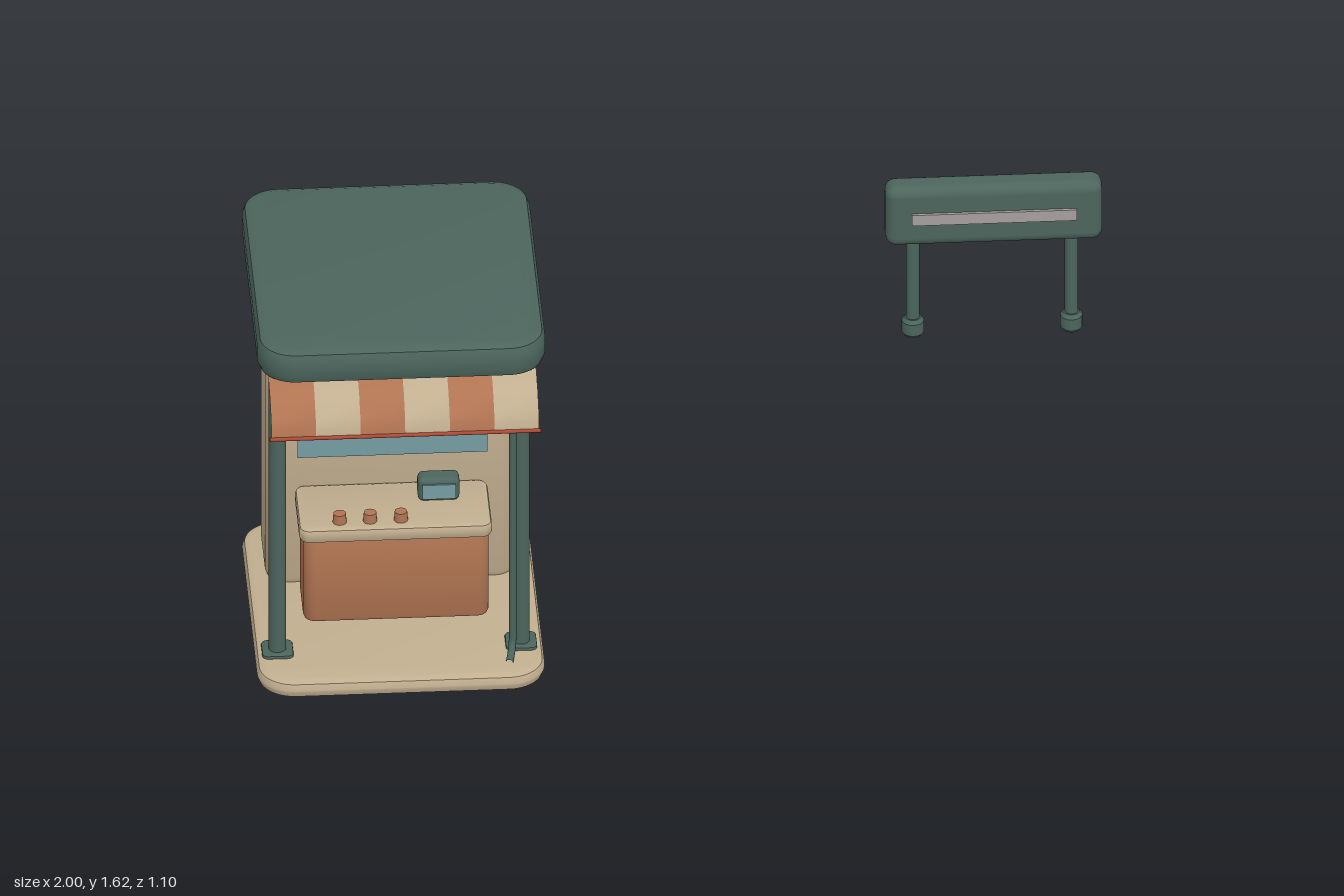
import * as THREE from 'three';
import { toCreasedNormals } from 'three/addons/utils/BufferGeometryUtils.js';
import { RoundedBoxGeometry } from 'three/addons/geometries/RoundedBoxGeometry.js';

const paint = (name, color, side = THREE.FrontSide) => {
  const m = new THREE.MeshStandardMaterial({ color, side });
  m.name = name;
  return m;
};

// Slab with rounded plan corners (radius r) and bevelled rims (b), standing on y = 0.
function slab(w, h, d, r, b) {
  const x = w / 2 - b, y = d / 2 - b, c = Math.max(r - b, 0.004);
  const s = new THREE.Shape();
  s.absarc(x - c, y - c, c, 0, Math.PI / 2);
  s.absarc(-x + c, y - c, c, Math.PI / 2, Math.PI);
  s.absarc(-x + c, -y + c, c, Math.PI, Math.PI * 1.5);
  s.absarc(x - c, -y + c, c, Math.PI * 1.5, Math.PI * 2);
  s.closePath();
  const g = new THREE.ExtrudeGeometry(s, {
    depth: h - 2 * b, bevelThickness: b, bevelSize: b, bevelSegments: 2, curveSegments: 5,
  });
  g.translate(0, 0, b).rotateX(-Math.PI / 2);
  return toCreasedNormals(g, 0.75);
}

export function createModel() {
  const root = new THREE.Group();
  root.name = 'kiosk';
  const green = paint('dark green', 0x4c655d);
  const cream = paint('cream', 0xc2af90);
  const orange = paint('terracotta', 0xb07452);
  const glass = paint('pale blue glass', 0x759da3);
  const grey = paint('warm grey', 0xa59e9e);
  const red = paint('red trim', 0xb04a35);
  const creamCloth = paint('cream cloth', 0xc2af90, THREE.DoubleSide);
  const orangeCloth = paint('terracotta cloth', 0xb07452, THREE.DoubleSide);

  const add = (name, geo, mat, x, y, z) => {
    const m = new THREE.Mesh(geo, mat);
    m.name = name;
    m.position.set(x, y, z);
    root.add(m);
    return m;
  };
  const cx = -0.655; // middle of the booth

  // Floor, roof and back cabinet
  add('floor', slab(0.69, 0.045, 0.73, 0.09, 0.02), cream, cx, 0, -0.175);
  add('roof', slab(0.69, 0.09, 0.75, 0.09, 0.025), green, cx, 0.9, -0.175);
  add('backCabinet', slab(0.6, 0.81, 0.245, 0.05, 0.02), cream, cx, 0.04, -0.375);
  add('window', new THREE.BoxGeometry(0.455, 0.21, 0.009), glass, -0.653, 0.515, -0.2455);

  // Front posts with foot plates, and ceiling lamps
  for (const side of [-1, 1]) {
    const x = cx + side * 0.292;
    add('post', new THREE.CylinderGeometry(0.021, 0.021, 0.87, 16), green, x, 0.475, 0.04);
    add('postFoot', slab(0.075, 0.01, 0.075, 0.015, 0.003), green, x, 0.043, 0.04);
    add('lampRim', new THREE.CylinderGeometry(0.032, 0.032, 0.014, 20), green, cx + side * 0.2, 0.897, -0.016);
    add('lampLens', new THREE.CylinderGeometry(0.027, 0.027, 0.004, 20), cream, cx + side * 0.2, 0.889, -0.016);
  }

  // Thin drain pipe kicking forward at the bottom
  const pipe = new THREE.CurvePath();
  const a = new THREE.Vector3(-0.386, 0.91, 0.09), b = new THREE.Vector3(-0.386, 0.09, 0.09);
  pipe.add(new THREE.LineCurve3(a, b));
  pipe.add(new THREE.QuadraticBezierCurve3(b, new THREE.Vector3(-0.386, 0.062, 0.09), new THREE.Vector3(-0.396, 0.048, 0.13)));
  add('drainPipe', new THREE.TubeGeometry(pipe, 40, 0.009, 8), green, 0, 0, 0);

  // Striped awning: each strip follows the same [z, y] drop curve
  const drop = [[0.12, 0.908], [0.15, 0.904], [0.218, 0.88], [0.264, 0.842], [0.272, 0.797]];
  const w = 0.107;
  for (let i = 0; i < 6; i++) {
    const g = new THREE.PlaneGeometry(w, 1, 1, drop.length - 1);
    const p = g.attributes.position;
    for (let k = 0; k < p.count; k++) {
      const [z, y] = drop[Math.floor(k / 2)];
      p.setXYZ(k, p.getX(k), y, z);
    }
    g.computeVertexNormals();
    add('awningStripe', g, i % 2 ? creamCloth : orangeCloth, cx + (i - 2.5) * w, 0, 0);
  }
  add('awningTrim', new THREE.CylinderGeometry(0.005, 0.005, 0.65, 8).rotateZ(Math.PI / 2), red, cx, 0.798, 0.272);

  // Counter with push buttons and a small till
  add('counterBody', slab(0.445, 0.245, 0.18, 0.03, 0.012), orange, cx, 0.058, -0.145);
  add('counterTop', slab(0.462, 0.037, 0.208, 0.025, 0.01), cream, -0.657, 0.292, -0.145);
  for (const x of [-0.79, -0.717, -0.643]) {
    add('button', new THREE.CylinderGeometry(0.015, 0.017, 0.026, 16), orange, x, 0.34, -0.08);
  }
  add('till', new RoundedBoxGeometry(0.1, 0.065, 0.05, 2, 0.014), green, -0.547, 0.358, -0.18);
  add('tillScreen', new THREE.BoxGeometry(0.08, 0.04, 0.006), glass, -0.547, 0.357, -0.154);

  // Separate raised sign on two legs
  add('signBoard', new RoundedBoxGeometry(0.52, 0.165, 0.074, 3, 0.026), green, 0.74, 1.54, 0.507);
  add('signPlate', new THREE.BoxGeometry(0.395, 0.03, 0.009), grey, 0.74, 1.54, 0.547);
  const foot = [[0, 0], [0.02, 0], [0.027, 0.009], [0.027, 0.04], [0.02, 0.05], [0, 0.05]];
  const footGeo = toCreasedNormals(new THREE.LatheGeometry(foot.map((q) => new THREE.Vector2(...q)), 16), 0.6);
  for (const x of [0.547, 0.927]) {
    add('signLeg', new THREE.CylinderGeometry(0.016, 0.016, 0.25, 16), green, x, 1.35, 0.507);
    add('signFoot', footGeo, green, x, 1.19, 0.507);
  }
  return root;
}
